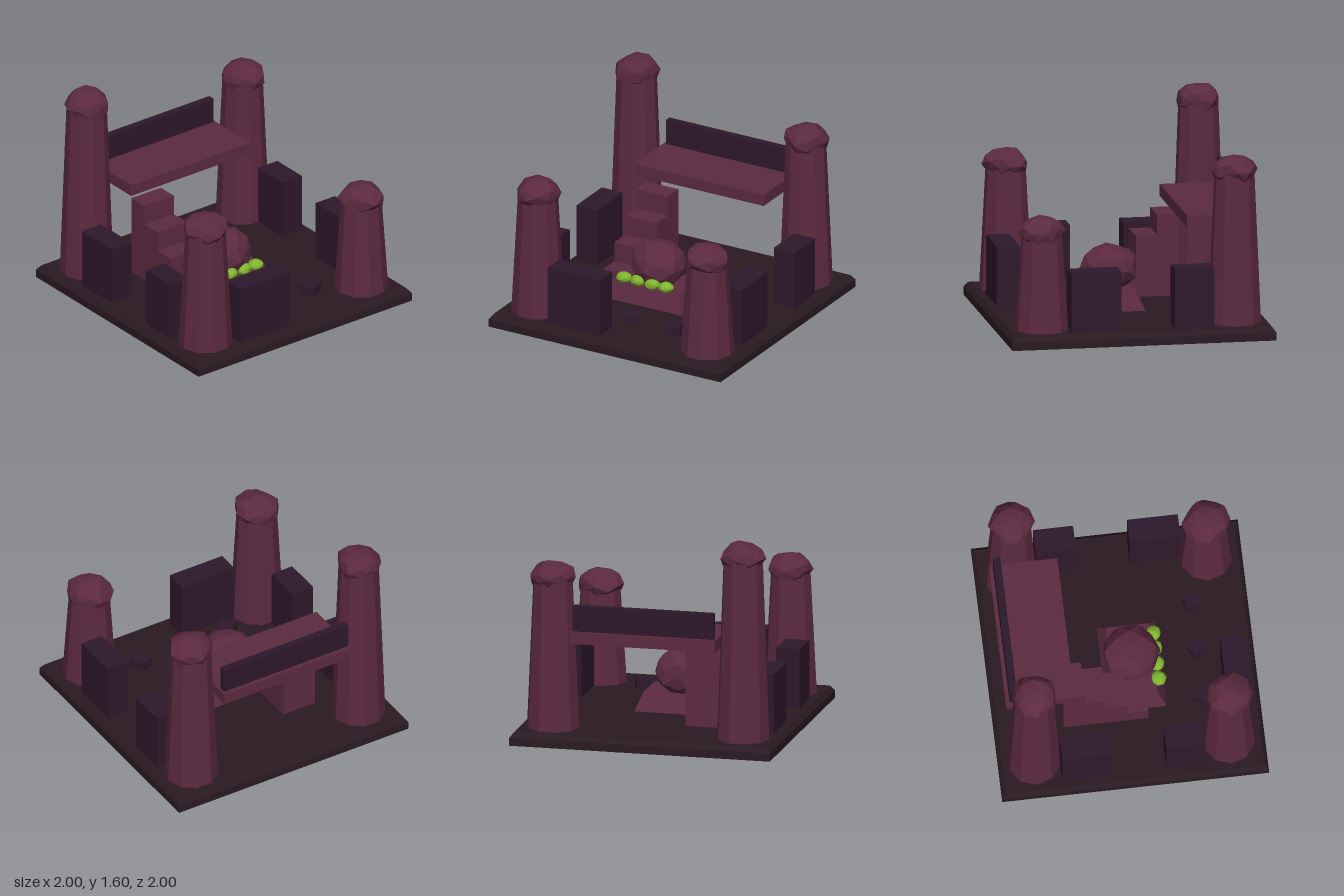
import * as THREE from 'three';

const mat = (color) => new THREE.MeshStandardMaterial({ color, flatShading: true });

export function createModel() {
  const root = new THREE.Group();
  const plum = mat(0x5c2a40), dark = mat(0x2e182c), floor = mat(0x2a1a22), green = mat(0x7fb52e);

  function add(name, geometry, material, x, y, z) {
    const mesh = new THREE.Mesh(geometry, material);
    mesh.name = name;
    mesh.position.set(x, y, z);
    root.add(mesh);
    return mesh;
  }

  // box given by its limits on each axis
  const block = (name, material, x0, x1, y0, y1, z0, z1) =>
    add(name, new THREE.BoxGeometry(x1 - x0, y1 - y0, z1 - z0), material,
      (x0 + x1) / 2, (y0 + y1) / 2, (z0 + z1) / 2);

  // box whose top face is drawn in by an inset
  function frustum(name, material, w, h, d, inset, x, y, z) {
    const g = new THREE.BoxGeometry(w, h, d);
    const p = g.attributes.position;
    for (let i = 0; i < p.count; i++) {
      if (p.getY(i) < 0) continue;
      p.setX(i, p.getX(i) - Math.sign(p.getX(i)) * inset);
      p.setZ(i, p.getZ(i) - Math.sign(p.getZ(i)) * inset);
    }
    g.computeVertexNormals();
    return add(name, g, material, x, y + h / 2, z);
  }

  // faceted rock: each shared corner is pushed in or out by the same hashed amount
  function rock(name, material, rx, ry, rz, x, y, z, seed, rough = 0.2) {
    const g = new THREE.IcosahedronGeometry(1, 1);
    const p = g.attributes.position;
    const v = new THREE.Vector3();
    for (let i = 0; i < p.count; i++) {
      v.fromBufferAttribute(p, i);
      const [a, b, c] = v.toArray().map((n) => Math.round(n * 100));
      const s = Math.sin(a * 12.9898 + b * 78.233 + c * 37.719 + seed * 4.17) * 43758.5453;
      v.multiplyScalar(1.06 - rough * (s - Math.floor(s)));
      p.setXYZ(i, v.x * rx, v.y * ry, v.z * rz);
    }
    g.computeVertexNormals();
    return add(name, g, material, x, y, z);
  }

  // ground slab with a chamfered rim
  block('slab', floor, -1, 1, 0, 0.06, -1, 1);
  frustum('slabRim', floor, 2, 0.04, 2, 0.03, 0, 0.06, 0);

  // corner pillars with rough stone caps: x, z, cap centre height
  const pillars = [[-0.73, -0.73, 1.49], [0.73, -0.73, 1.26], [-0.73, 0.73, 1.05], [0.73, 0.73, 0.85]];
  pillars.forEach(([x, z, top], i) => {
    const h = top - 0.1;
    add('pillar', new THREE.CylinderGeometry(0.15, 0.2, h, 10, 1, false, Math.PI / 2),
      plum, x, 0.1 + h / 2, z);
    rock('pillarCap', plum, 0.175, 0.12, 0.175, x, top, z, i + 1);
  });

  // raised platform and its back wall
  block('platform', plum, -0.56, 0.555, 0.79, 0.88, -0.92, -0.405);
  block('platformWall', dark, -0.54, 0.54, 0.88, 1.075, -0.89, -0.835);

  // stairs rising toward the platform
  for (let i = 0; i < 4; i++) {
    const z1 = 0.155 - i * 0.159;
    block('stairStep', plum, -0.5, -0.225, 0.1, 0.255 + i * 0.155, z1 - 0.159, z1);
  }

  // plinth, boulder and row of green orbs
  frustum('plinth', plum, 0.675, 0.14, 0.445, 0.06, -0.082, 0.1, 0.077);
  rock('boulder', plum, 0.215, 0.185, 0.215, -0.07, 0.37, 0.07, 8, 0.13);
  [-0.26, -0.14, -0.015, 0.1].forEach((x, i) =>
    rock('greenOrb', green, 0.06, 0.043, 0.057, x, 0.283, 0.26, 10 + i, 0.15));

  // low walls between the pillars: x and z limits
  const walls = [
    [-0.92, -0.74, -0.54, -0.165], [-0.92, -0.74, 0.24, 0.535],
    [0.735, 0.915, -0.545, -0.245], [0.735, 0.915, 0.16, 0.54],
    [-0.54, -0.085, 0.74, 0.915],
  ];
  for (const [x0, x1, z0, z1] of walls) block('lowWall', dark, x0, x1, 0.1, 0.553, z0, z1);

  // small turned stones on the floor: x, z, width, depth, turn
  const stones = [[-0.39, 0.605, 0.14, 0.13, 0.87], [0, 0.575, 0.11, 0.115, 0.5], [0.365, 0.585, 0.11, 0.12, 0.32]];
  for (const [x, z, w, d, turn] of stones) {
    add('floorStone', new THREE.BoxGeometry(w, 0.07, d), dark, x, 0.135, z).rotation.y = turn;
  }

  return root;
}
